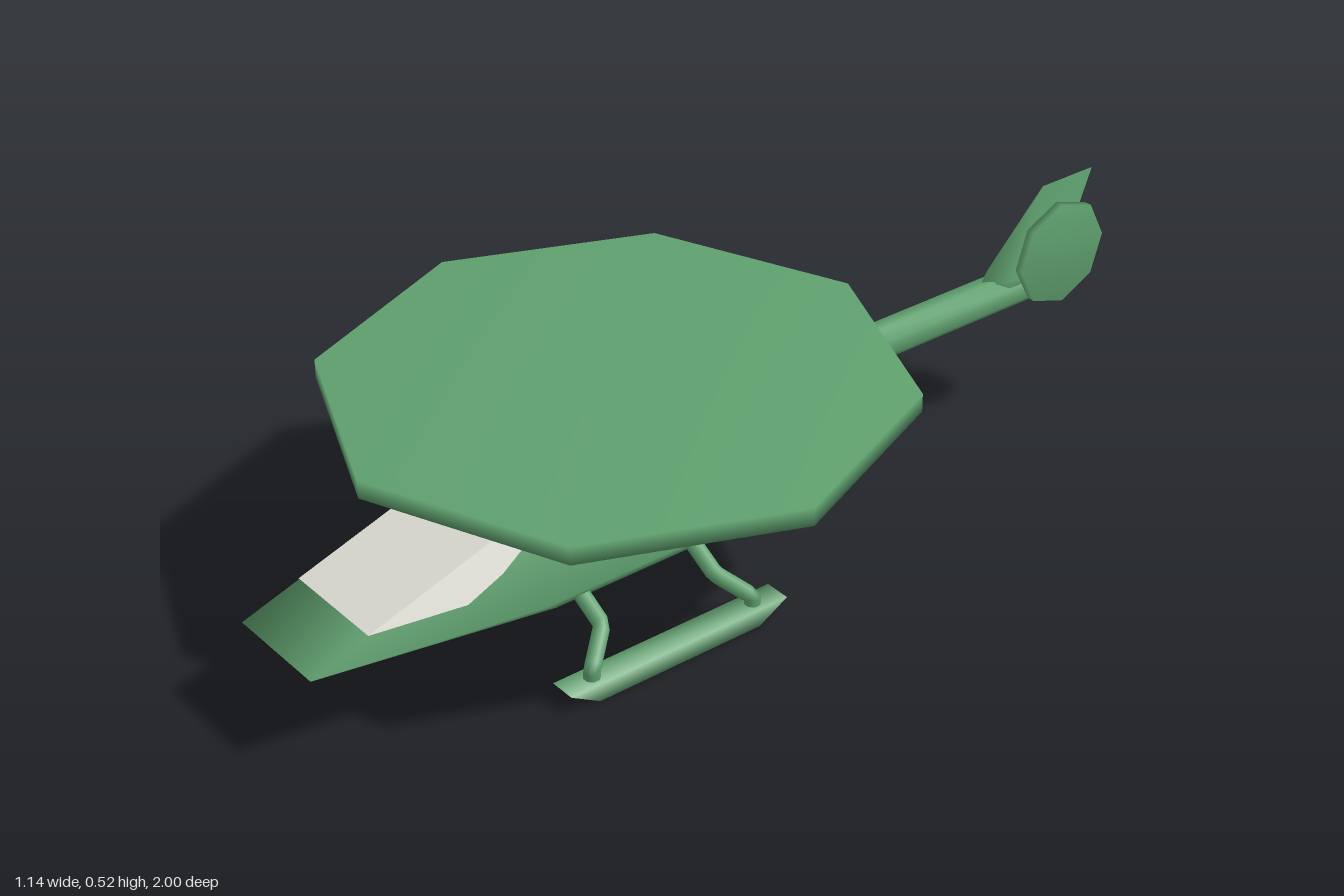
import * as THREE from 'three';
import { mergeVertices } from 'three/addons/utils/BufferGeometryUtils.js';
import { ConvexGeometry } from 'three/addons/geometries/ConvexGeometry.js';

const green = new THREE.MeshStandardMaterial({ color: 0x5fa06e });
green.name = 'green paint';
const glass = new THREE.MeshStandardMaterial({ color: 0xdcdcd4 });
glass.name = 'pale glass';

// Share corners so shading runs softly over the facets
function soften(geometry) {
  geometry.deleteAttribute('normal');
  geometry.deleteAttribute('uv');
  const merged = mergeVertices(geometry, 1e-4);
  merged.clearGroups();
  merged.computeVertexNormals();
  return merged;
}

// Convex solid from corners; corners off the centre plane are mirrored
function hull(corners) {
  const points = [];
  for (const [x, y, z] of corners) {
    points.push(new THREE.Vector3(x, y, z));
    if (x) points.push(new THREE.Vector3(-x, y, z));
  }
  return soften(new ConvexGeometry(points));
}

export function createModel() {
  const model = new THREE.Group();
  model.name = 'helicopter';
  const add = (name, geometry, material = green, parent = model) => {
    const mesh = new THREE.Mesh(geometry, material);
    mesh.name = name;
    parent.add(mesh);
    return mesh;
  };

  // Faceted cabin with a wide, flat nose edge
  add('cabin', hull([
    [0.115, 0.195, 1.0],
    [0.115, 0.385, 0.42], [0.115, 0.385, 0.11],
    [0.19, 0.195, 0.55], [0.19, 0.195, 0.09],
    [0.115, 0.12, 0.47], [0.115, 0.12, 0.12],
    [0.115, 0.2, 0.01],
  ]));

  // Windscreen panes laid just above the sloping nose faces
  const noseZ = (x, y) => 1 - (0.58 * (y - 0.195)) / 0.19 - 6 * Math.max(0, Math.abs(x) - 0.115);
  const pane = (name, outline) => {
    const geometry = new THREE.ShapeGeometry(
      new THREE.Shape(outline.map(([x, y]) => new THREE.Vector2(x, y))));
    const p = geometry.attributes.position;
    for (let i = 0; i < p.count; i++) p.setZ(i, noseZ(p.getX(i), p.getY(i)) + 0.008);
    geometry.computeVertexNormals();
    add(name, geometry, glass);
  };
  pane('windscreen', [
    [-0.115, 0.238], [0.115, 0.238], [0.115, 0.34], [0.09, 0.354], [0.045, 0.361],
    [-0.045, 0.361], [-0.09, 0.354], [-0.115, 0.34],
  ]);
  const sideOutline = [[0.115, 0.238], [0.147, 0.238], [0.144, 0.27], [0.136, 0.305], [0.127, 0.328], [0.115, 0.34]];
  pane('leftSidePane', sideOutline);
  pane('rightSidePane', sideOutline.map(([x, y]) => [-x, y]).reverse());

  // Main rotor disc on its mast
  add('mast', new THREE.CylinderGeometry(0.02, 0.02, 0.08, 8)).position.set(0, 0.41, 0.237);
  add('mainRotor', soften(new THREE.CylinderGeometry(0.571, 0.571, 0.038, 8))).position.set(0, 0.46, 0.237);

  // Tail boom: three eight-sided sections [z, middle y, half height, half width]
  const sections = [[0.06, 0.274, 0.081, 0.055], [-0.29, 0.317, 0.038, 0.035], [-0.88, 0.317, 0.038, 0.035]];
  const boom = new THREE.CylinderGeometry(1, 1, 1, 8, 2, false, Math.PI / 8);
  const p = boom.attributes.position;
  const flat = Math.cos(Math.PI / 8);
  for (let i = 0; i < p.count; i++) {
    const [z, y, h, w] = sections[Math.round((0.5 - p.getY(i)) * 2)];
    p.setXYZ(i, (p.getX(i) / flat) * w, y - (p.getZ(i) / flat) * h, z);
  }
  add('tailBoom', soften(boom));

  // Swept fin narrowing to a thin top edge
  add('tailFin', hull([
    [0, 0.345, -0.69], [0.034, 0.355, -0.75], [0.034, 0.34, -0.88],
    [0.025, 0.3, -0.75], [0.025, 0.3, -0.878],
    [0, 0.524, -0.86], [0, 0.524, -1.0],
  ]));

  // Tail rotor disc on the left
  const tailRotor = add('tailRotor', soften(new THREE.CylinderGeometry(0.114, 0.114, 0.018, 8)));
  tailRotor.rotation.set(0.08, 0, Math.PI / 2, 'XYZ');
  tailRotor.position.set(0.066, 0.403, -0.852);

  // Landing gear, one skid and two bent struts per side
  const skidGeometry = new ConvexGeometry([0.21, 0.267].flatMap((x) => [
    [0.038, 0.55], [0.038, 0.038], [0, 0.485], [0, 0.105],
  ].map(([y, z]) => new THREE.Vector3(x, y, z))));
  for (const side of [1, -1]) {
    const gear = new THREE.Group();
    gear.name = side > 0 ? 'leftLandingGear' : 'rightLandingGear';
    model.add(gear);
    const skid = add('skid', soften(skidGeometry.clone()), green, gear);
    if (side < 0) skid.position.x = -0.477;
    for (const [name, top, foot] of [['frontStrut', 0.428, 0.483], ['rearStrut', 0.162, 0.101]]) {
      const path = new THREE.CatmullRomCurve3([
        [0.11, 0.16, top], [0.2, 0.11, top], [0.24, 0.053, foot], [0.24, 0.025, foot],
      ].map(([x, y, z]) => new THREE.Vector3(side * x, y, z)), false, 'catmullrom', 0);
      add(name, new THREE.TubeGeometry(path, 16, 0.017, 8), green, gear);
    }
  }
  return model;
}
